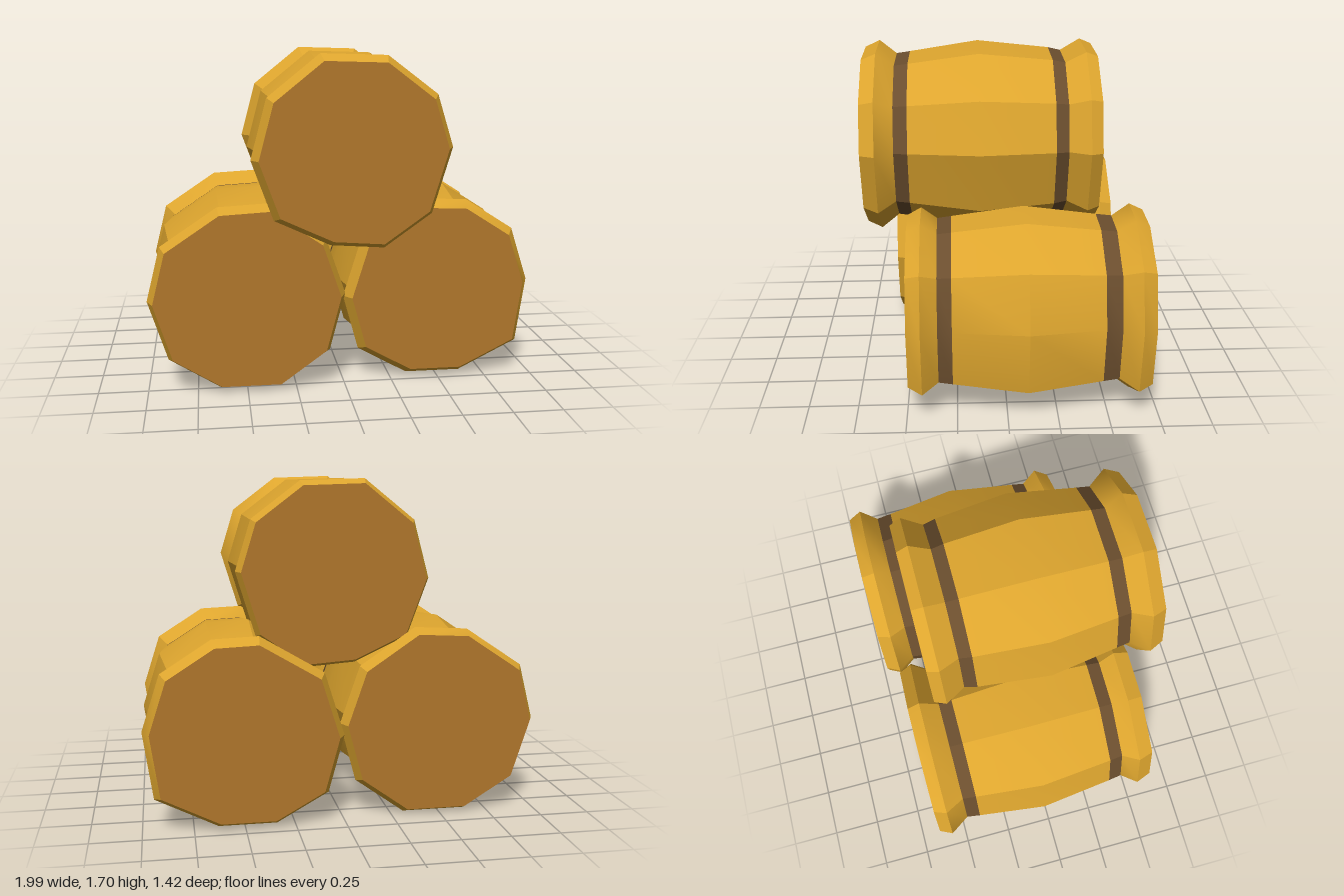
import * as THREE from 'three';
import { toCreasedNormals } from 'three/addons/utils/BufferGeometryUtils.js';

const mat = (name, color) => {
  const m = new THREE.MeshStandardMaterial({ color });
  m.name = name;
  return m;
};

// Each barrel: axis centre, uneven ten-sided outline (clockwise from the front),
// and ring positions from front to back as [z, scale of outline].
const BARRELS = [
  {
    name: 'topBarrel', centre: [0.02, 1.23],
    outline: [[-0.14, 1.71], [0.19, 1.7], [0.44, 1.51], [0.52, 1.25], [0.42, 0.92],
      [0.18, 0.75], [-0.09, 0.77], [-0.37, 0.9], [-0.48, 1.2], [-0.4, 1.5]],
    rings: [[0.715, 0.92], [0.64, 0.99], [0.55, 0.85], [0.48, 0.87], [0.12, 0.98],
      [-0.26, 0.9], [-0.325, 0.87], [-0.43, 0.99], [-0.49, 0.94]],
  },
  {
    name: 'leftBarrel', centre: [0.49, 0.49],
    outline: [[0.42, 0.96], [0.65, 0.95], [0.9, 0.79], [0.99, 0.51], [0.94, 0.17],
      [0.63, 0.015], [0.34, 0.015], [0.08, 0.16], [0, 0.45], [0.1, 0.77]],
    rings: [[0.49, 0.91], [0.42, 0.99], [0.34, 0.87], [0.27, 0.89], [-0.1, 0.99],
      [-0.47, 0.89], [-0.55, 0.87], [-0.64, 1], [-0.71, 0.93]],
  },
  {
    name: 'rightBarrel', centre: [-0.49, 0.49],
    outline: [[-0.64, 0.955], [-0.37, 0.97], [-0.09, 0.78], [0.01, 0.49], [-0.07, 0.19],
      [-0.32, 0.01], [-0.64, 0.01], [-0.9, 0.17], [-1, 0.48], [-0.93, 0.76]],
    rings: [[0.58, 0.93], [0.5, 0.99], [0.42, 0.87], [0.35, 0.89], [-0.04, 0.98],
      [-0.4, 0.89], [-0.47, 0.87], [-0.57, 1], [-0.635, 0.94]],
  },
];

export function createModel() {
  const model = new THREE.Group();
  model.name = 'barrelStack';
  const wood = mat('goldenWood', 0xdda52e);
  const hoop = mat('darkHoop', 0x6b4e2e);
  const lid = mat('brownLid', 0xb1772c);

  for (const { name, centre, outline, rings } of BARRELS) {
    const barrel = new THREE.Group();
    barrel.name = name;
    const [cx, cy] = centre;
    const n = outline.length;
    const loops = rings.map(([z, s]) =>
      outline.map(([x, y]) => [cx + (x - cx) * s, cy + (y - cy) * s, z]));

    const add = (part, pos, material) => {
      const geo = new THREE.BufferGeometry();
      geo.setAttribute('position', new THREE.Float32BufferAttribute(pos.flat(), 3));
      geo.computeVertexNormals();
      const mesh = new THREE.Mesh(toCreasedNormals(geo, 0.5), material);
      mesh.name = part;
      barrel.add(mesh);
    };

    // Skin between consecutive rings
    const band = (part, from, to, material) => {
      const pos = [];
      for (let r = from; r < to; r++) {
        for (let i = 0; i < n; i++) {
          const j = (i + 1) % n;
          const a = loops[r][i], b = loops[r][j], c = loops[r + 1][j], d = loops[r + 1][i];
          pos.push(a, b, c, a, c, d);
        }
      }
      add(part, pos, material);
    };

    // Flat end closing one ring
    const cap = (part, r, front) => {
      const pos = [], mid = [cx, cy, rings[r][0]];
      for (let i = 0; i < n; i++) {
        const a = loops[r][i], b = loops[r][(i + 1) % n];
        pos.push(mid, ...(front ? [b, a] : [a, b]));
      }
      add(part, pos, lid);
    };

    cap('frontLid', 0, true);
    band('frontRim', 0, 2, wood);
    band('frontHoop', 2, 3, hoop);
    band('staves', 3, 5, wood);
    band('backHoop', 5, 6, hoop);
    band('backRim', 6, 8, wood);
    cap('backLid', 8, false);
    model.add(barrel);
  }
  return model;
}
